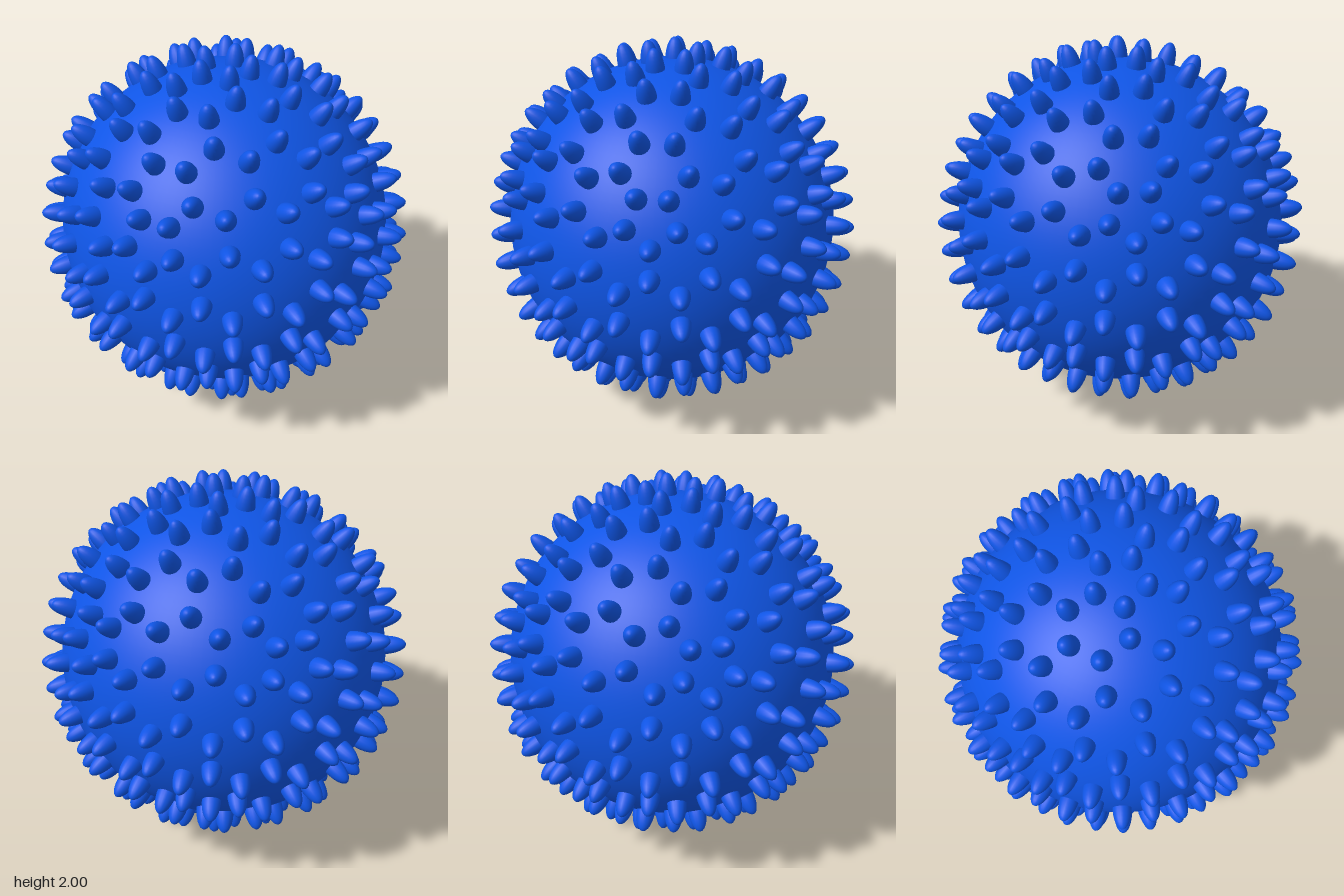
import * as THREE from 'three';
import { mergeGeometries } from 'three/addons/utils/BufferGeometryUtils.js';

// Face centre directions of a subdivided icosahedron standing on one corner
function spikeDirections() {
  const ico = new THREE.IcosahedronGeometry(1, 3);
  ico.rotateZ(-Math.atan(2 / (1 + Math.sqrt(5))));
  const pos = ico.getAttribute('position');
  const corner = new THREE.Vector3();
  const directions = [];
  for (let i = 0; i < pos.count; i += 3) {
    const centre = new THREE.Vector3();
    for (let k = 0; k < 3; k++) centre.add(corner.fromBufferAttribute(pos, i + k));
    directions.push(centre.normalize());
  }
  return directions;
}

export function createModel() {
  const group = new THREE.Group();
  group.name = 'spikyBall';
  const material = new THREE.MeshStandardMaterial({ color: 0x0f55e6 });

  // Smooth round core
  const core = new THREE.Mesh(new THREE.SphereGeometry(0.9, 96, 64), material);
  core.name = 'ballCore';

  // One egg-shaped nub: half an ellipsoid rooted just under the surface
  const nub = new THREE.SphereGeometry(1, 18, 8, 0, Math.PI * 2, 0, Math.PI / 2);
  nub.scale(0.05, 0.119, 0.05);
  nub.translate(0, 0.89, 0);

  // Copies of the nub turned to every direction
  const up = new THREE.Vector3(0, 1, 0);
  const turn = new THREE.Quaternion();
  const nubs = spikeDirections().map((dir) =>
    nub.clone().applyQuaternion(turn.setFromUnitVectors(up, dir)));
  const spikes = new THREE.Mesh(mergeGeometries(nubs), material);
  spikes.name = 'spikes';

  core.position.y = spikes.position.y = 1;
  group.add(core, spikes);
  return group;
}
